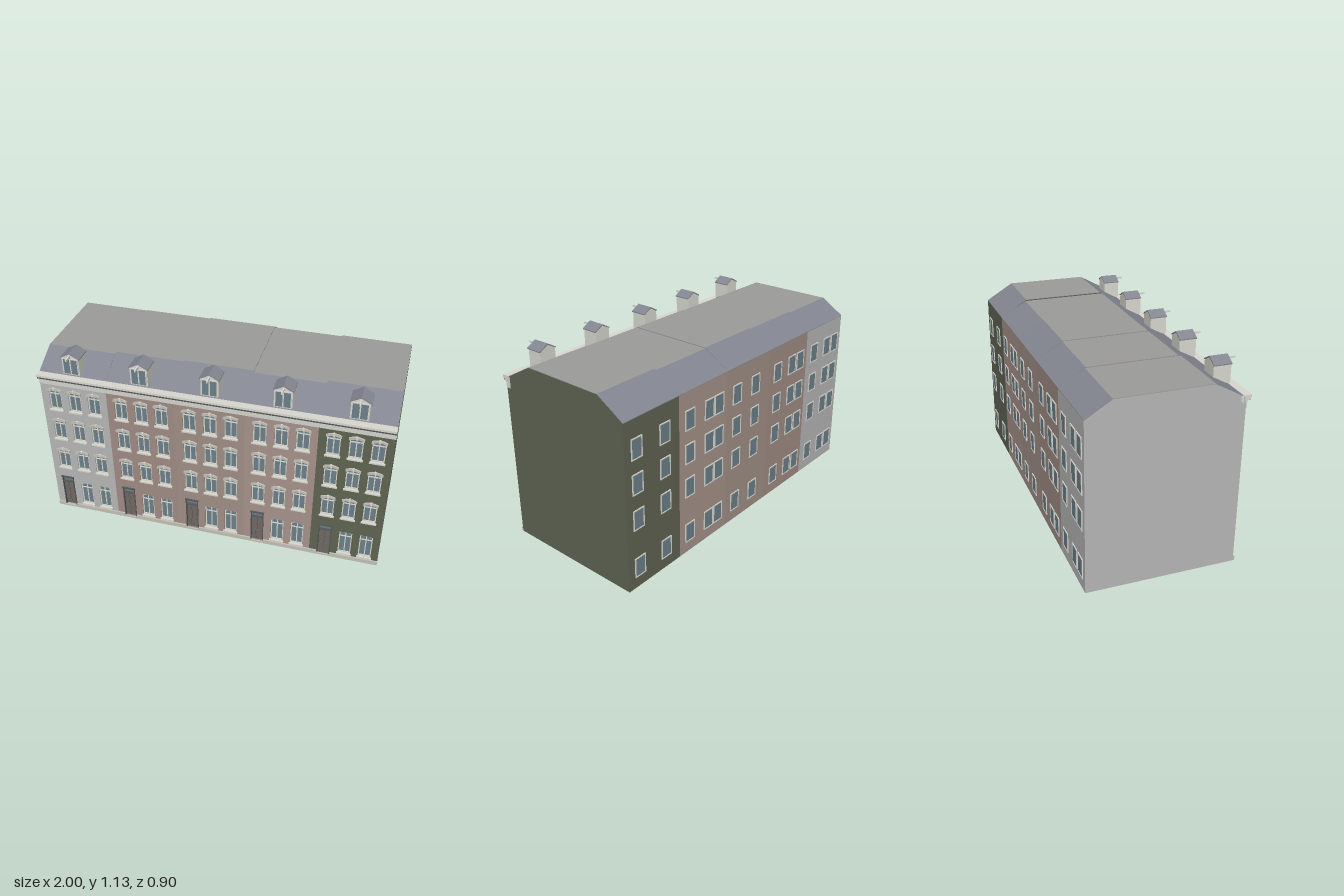
import * as THREE from 'three';

const mat = (color) => new THREE.MeshStandardMaterial({ color, side: THREE.DoubleSide, flatShading: true });
const trim = mat(0xd8d8d0), glass = mat(0x6c808a), slate = mat(0x838690), flat = mat(0x9b9c9a);
const dark = mat(0x55575a), doorMat = mat(0x716965), stone = mat(0xc4c0b6);

const FRONT = 0.413, DEPTH = 0.014;      // facade plane and window recess
const backZ = (x) => -0.439 - 0.008 * x; // the rear wall runs slightly askew

function add(parent, name, geometry, material, x = 0, y = 0, z = 0) {
  const mesh = new THREE.Mesh(geometry, material);
  mesh.name = name;
  mesh.position.set(x, y, z);
  parent.add(mesh);
  return mesh;
}
const box = (parent, name, w, h, d, m, x, y, z) => add(parent, name, new THREE.BoxGeometry(w, h, d), m, x, y, z);

// Profile of [z, y] points extruded along x
function prism(points, x0, width) {
  const shape = new THREE.Shape(points.map(([z, y]) => new THREE.Vector2(-z, y)));
  const g = new THREE.ExtrudeGeometry(shape, { depth: width, bevelEnabled: false });
  return g.rotateY(Math.PI / 2).translate(x0, 0, 0);
}

// Shift the rear edge onto the askew back line
function skewBack(g) {
  const p = g.attributes.position;
  for (let i = 0; i < p.count; i++) {
    if (p.getZ(i) < -0.4) p.setZ(i, p.getZ(i) + backZ(p.getX(i)) + 0.439);
  }
  g.computeVertexNormals();
  return g;
}

// Opening with a shallow arched head
function arched(target, x, y0, w, h, rise) {
  target.moveTo(x - w / 2, y0);
  target.lineTo(x + w / 2, y0);
  target.lineTo(x + w / 2, y0 + h - rise);
  target.quadraticCurveTo(x, y0 + h + rise, x - w / 2, y0 + h - rise);
  target.lineTo(x - w / 2, y0);
  return target;
}
const extrude = (shape, depth) => new THREE.ExtrudeGeometry(shape, { depth, bevelEnabled: false, curveSegments: 6 });

const columns = [-0.117, 0.003, 0.121];
const rows = [[0.043, 0.162, 0.004], [0.312, 0.134, 0.01], [0.53, 0.134, 0.01], [0.742, 0.134, 0.01]];
const W = 0.074;
const openings = [];
for (const [r, [y, h, rise]] of rows.entries()) {
  for (const [c, x] of columns.entries()) {
    if (r > 0 || c > 0) openings.push({ x, y, h, rise, brow: r > 0 });
  }
}

function frontWindow(parent, { x, y, h, rise, brow }) {
  const g = new THREE.Group();
  g.name = 'frontWindow';
  g.position.set(x, y, FRONT - DEPTH);
  parent.add(g);
  const frame = arched(new THREE.Shape(), 0, 0, W, h, rise);
  frame.holes.push(arched(new THREE.Path(), 0, 0.006, W - 0.012, h - 0.012, rise));
  add(g, 'frame', extrude(frame, 0.008), trim);
  add(g, 'pane', extrude(arched(new THREE.Shape(), 0, 0, W, h, rise), 0.002), glass);
  box(g, 'mullion', 0.006, h - 0.004, 0.006, trim, 0, h / 2, 0.004);
  box(g, 'transom', W - 0.004, 0.005, 0.006, trim, 0, h * 0.77, 0.004);
  box(g, 'sill', W + 0.012, 0.009, 0.022, trim, 0, -0.004, 0.013);
  if (!brow) return;
  // Arched brow over the opening
  const b = new THREE.Shape();
  const o = W / 2 + 0.005;
  b.moveTo(-o, h - rise - 0.002);
  b.quadraticCurveTo(0, h + rise, o, h - rise - 0.002);
  b.lineTo(o, h - rise + 0.012);
  b.quadraticCurveTo(0, h + rise + 0.014, -o, h - rise + 0.012);
  add(g, 'brow', extrude(b, 0.009), stone, 0, 0, DEPTH);
  box(g, 'keystone', 0.01, 0.018, 0.011, trim, 0, h + 0.007, DEPTH + 0.0055);
}

function frontDoor(parent, x) {
  const g = new THREE.Group();
  g.name = 'frontDoor';
  g.position.set(x, 0, FRONT - DEPTH);
  parent.add(g);
  for (const s of [-1, 1]) {
    box(g, 'doorLeaf', 0.031, 0.182, 0.008, doorMat, s * 0.0165, 0.104, 0.004);
    box(g, 'doorPanel', 0.018, 0.06, 0.004, doorMat, s * 0.0165, 0.06, 0.009);
    box(g, 'doorPanel', 0.018, 0.07, 0.004, doorMat, s * 0.0165, 0.145, 0.009);
    box(g, 'doorPost', 0.005, 0.222, 0.018, dark, s * 0.0355, 0.123, 0.009);
  }
  box(g, 'fanlight', 0.07, 0.036, 0.004, glass, 0, 0.215, 0.003);
  box(g, 'doorTransom', 0.076, 0.006, 0.018, dark, 0, 0.197, 0.009);
  box(g, 'doorHead', 0.082, 0.007, 0.022, dark, 0, 0.235, 0.013);
}

function backWindow(parent, x, y) {
  const g = new THREE.Group();
  g.name = 'backWindow';
  g.position.set(x, y, backZ(x) - 0.001);
  parent.add(g);
  box(g, 'pane', 0.07, 0.108, 0.003, glass, 0, 0, 0);
  for (const s of [-1, 1]) {
    box(g, 'jamb', 0.006, 0.118, 0.008, trim, s * 0.036, 0, 0);
    box(g, 'rail', 0.078, 0.006, 0.008, trim, 0, s * 0.056, 0);
  }
}

function dormer(parent, x) {
  const g = new THREE.Group();
  g.name = 'dormer';
  g.position.set(x, 0, 0);
  parent.add(g);
  const body = new THREE.Shape([[-0.05, 0.988], [0.05, 0.988], [0.05, 1.092], [0, 1.12], [-0.05, 1.092]]
    .map(([a, b]) => new THREE.Vector2(a, b)));
  add(g, 'dormerWalls', extrude(body, 0.096), trim, 0, 0, 0.302);
  const roof = new THREE.Shape([[-0.056, 1.09], [0, 1.121], [0.056, 1.09], [0.056, 1.096], [0, 1.128], [-0.056, 1.096]]
    .map(([a, b]) => new THREE.Vector2(a, b)));
  add(g, 'dormerRoof', extrude(roof, 0.102), slate, 0, 0, 0.3);
  box(g, 'dormerPane', 0.084, 0.092, 0.003, glass, 0, 1.04, 0.399);
  box(g, 'dormerMullion', 0.007, 0.092, 0.005, trim, 0, 1.04, 0.4);
  for (const s of [-1, 1]) box(g, 'dormerJamb', 0.005, 0.096, 0.006, trim, s * 0.043, 1.04, 0.4);
  box(g, 'dormerLintel', 0.1, 0.006, 0.008, trim, 0, 1.09, 0.4);
  add(g, 'hoistBeam', prism([[0.395, 1.094], [0.425, 1.1], [0.447, 1.101], [0.447, 1.111], [0.395, 1.111]], -0.004, 0.008), trim);
}

// Per house: wall colour, roof height, roof break lines, rear window positions
const houses = [
  { wall: 0xb6b7b6, top: 1.062, zf: 0.24, zb: -0.29, back: [0.112, -0.039, -0.13] },
  { wall: 0xa08c84, top: 1.067, zf: 0.225, zb: -0.286, back: [0.112, -0.039, -0.13] },
  { wall: 0xa09086, top: 1.072, zf: 0.22, zb: -0.285, back: [0.109, -0.065] },
  { wall: 0xa7938b, top: 1.067, zf: 0.23, zb: -0.285, back: [0.116, -0.046, -0.13] },
  { wall: 0x5f6452, top: 1.076, zf: 0.217, zb: -0.28, back: [0.116, -0.088] },
];

export function createModel() {
  const model = new THREE.Group();
  model.name = 'terraceOfHouses';

  houses.forEach(({ wall, top, zf, zb, back }, i) => {
    const cx = -0.8 + 0.4 * i, wallMat = mat(wall);
    const house = new THREE.Group();
    house.name = 'house';
    model.add(house);

    // Main body with the broken gable outline
    const zi = FRONT - DEPTH;
    const eaveF = [zi, 0.975], ridgeF = [zf, top], ridgeB = [zb, top], eaveB = [-0.439, 0.975];
    add(house, 'body', skewBack(prism([[zi, 0], eaveF, ridgeF, ridgeB, eaveB, [-0.439, 0]], cx - 0.2, 0.4)), wallMat);

    // Roof planes
    const plane = (name, a, b, m) => add(house, name,
      skewBack(prism([a, b, [b[0], b[1] + 0.003], [a[0], a[1] + 0.003]], cx - 0.2, 0.4)), m);
    plane('frontRoofSlope', eaveF, ridgeF, slate);
    plane('flatRoof', ridgeF, ridgeB, flat);
    plane('backRoofSlope', ridgeB, eaveB, slate);

    // Pierced front wall with its windows and door
    const front = new THREE.Group();
    front.name = 'facade';
    front.position.x = cx;
    house.add(front);
    const sheet = new THREE.Shape([[-0.2, 0], [0.2, 0], [0.2, 0.97], [-0.2, 0.97]].map(([a, b]) => new THREE.Vector2(a, b)));
    for (const o of openings) sheet.holes.push(arched(new THREE.Path(), o.x, o.y, W, o.h, o.rise));
    sheet.holes.push(arched(new THREE.Path(), columns[0], 0.012, W, 0.224, 0.001));
    add(front, 'frontWall', extrude(sheet, DEPTH), wallMat, 0, 0, zi);
    for (const o of openings) frontWindow(front, o);
    frontDoor(front, columns[0]);
    box(front, 'plinth', 0.044, 0.026, 0.01, stone, -0.178, 0.013, FRONT + 0.004);
    box(front, 'plinth', 0.278, 0.026, 0.01, stone, 0.061, 0.013, FRONT + 0.004);
    box(front, 'doorstep', 0.078, 0.011, 0.01, stone, columns[0], 0.0055, FRONT + 0.004);

    for (const dx of back) for (const y of [0.125, 0.412, 0.618, 0.815]) backWindow(house, cx + dx, y);
    dormer(house, cx);
  });

  // Continuous cornice with a dark gutter line
  add(model, 'cornice', prism([[0.385, 0.912], [0.418, 0.912], [0.419, 0.945], [0.426, 0.95], [0.436, 0.962],
    [0.442, 0.966], [0.442, 0.979], [0.385, 0.979]], -1, 2), trim);
  box(model, 'gutterLine', 2, 0.009, 0.01, dark, 0, 0.957, 0.43);
  return model;
}
